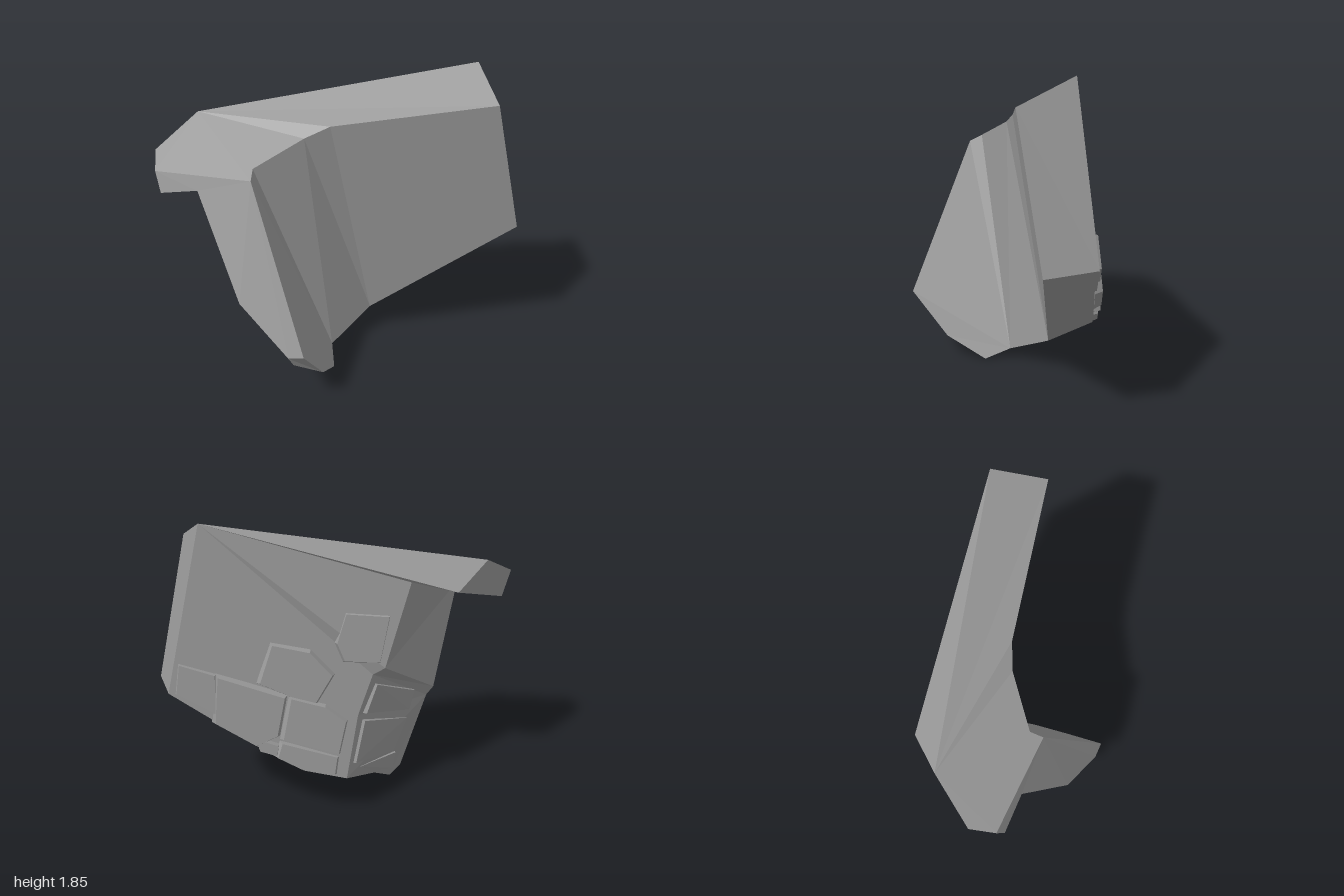
import * as THREE from 'three';
import { ConvexGeometry } from 'three/addons/geometries/ConvexGeometry.js';

const material = new THREE.MeshStandardMaterial({ color: 0x989898, flatShading: true });

// Corner points of the rock body
const P = {
  // slab end
  A: [0.64, 1.7, 0.62], B: [0.87, 0.86, 0.63], Bb: [0.995, 0.885, 0.36], Ab: [0.75, 1.85, 0.31],
  // front top edge
  C: [-0.12, 1.56, 0.05], K: [-0.26, 1.5, -0.01], D: [-0.58, 1.38, -0.05], E: [-0.63, 1.34, 0.01],
  // left spur and bottom front edge
  F: [-0.61, 0.41, 0.49], G: [-0.4, 0.14, 0.37], H: [-0.21, 0, 0.21], I: [-0.13, 0.06, 0.07], J: [0.2, 0.2, 0.03],
  M: [-0.67, 0.39, 0.42], W: [-0.63, 0.32, 0.41], N: [-0.81, 0.66, 0.13], V: [-0.85, 1.25, -0.22],
  // overhanging cap
  T: [-1, 1.21, -0.39], P3: [-1, 1.33, -0.44], P2: [-0.93, 1.4, -0.57], P1: [-0.62, 1.55, -0.62],
  R: [-0.35, 1.42, -0.63], S: [-0.87, 1.24, -0.56], Q: [-0.16, 1.48, -0.44],
  // back ridge with its ledge, and bottom back edge
  R1: [0, 0.98, -0.4], R1b: [0.04, 0.93, -0.34], R2: [0.13, 0.68, -0.31], R3: [0.22, 0.28, -0.31],
  R4: [-0.06, 0.18, -0.27], U: [0.57, 0.47, 0], U2: [0.41, 0.34, -0.14],
  L: [-0.34, 0.11, -0.24], L2: [-0.24, 0.07, -0.24], X: [-0.5, 0.59, -0.3], X1: [-0.53, 0.65, -0.33],
};

// Flat faces, corners counter-clockwise from outside, fanned from the first corner
const FACES = {
  top: 'P1 P2 P3 E D K C A Ab',
  slabFront: 'J B A C K',
  frontBand: 'I J K D',
  spurInner: 'I D E F G H',
  slabEnd: 'A B Bb Ab',
  slabUnderside: 'J R3 U2 U Bb B',
  bottom: 'I H L2 R4 R3 J',
  topBevel: 'Ab Q R P1',
  slabBack: 'Ab Bb U U2 R3 R2 R1b R1 Q',
  capBack: 'R S P2 P1',
  capLeft: 'P2 S T P3',
  capFront: 'P3 T V E',
  capUnderside: 'V T S R Q',
  spurOuter: 'E V N M F',
  spurTip: 'G F M W',
  leftSide: 'V X1 X L L2 H G W M N',
  backUpper: 'V Q R1 X1',
  backLedge: 'X1 R1 R1b X',
  backLower: 'X R1b R2 R3 R4 L2 L',
};

function body() {
  const pos = [];
  for (const face of Object.values(FACES)) {
    const c = face.split(' ').map((n) => P[n]);
    for (let i = 1; i < c.length - 1; i++) pos.push(...c[0], ...c[i], ...c[i + 1]);
  }
  const g = new THREE.BufferGeometry();
  g.setAttribute('position', new THREE.Float32BufferAttribute(pos, 3));
  g.computeVertexNormals();
  return g;
}

// A broken stone plate: outline sunk into the rock, smaller raised face
function plate(points, normal, thick) {
  const centre = points.reduce((s, p) => s.add(p), new THREE.Vector3()).divideScalar(points.length);
  const ring = [];
  for (const p of points) {
    ring.push(p.clone().addScaledVector(normal, -0.02));
    ring.push(p.clone().lerp(centre, 0.1).addScaledVector(normal, thick));
  }
  return new ConvexGeometry(ring);
}

// Plates on the slab back, as z, y outlines on its plane
const slabNormal = new THREE.Vector3(1, 0.186, -1.305).normalize();
const onSlab = ([z, y]) => new THREE.Vector3(0.75 - 0.186 * (y - 1.85) + 1.305 * (z - 0.31), y, z);
const slabPlates = [
  [0.015, [[0.34, 1.07], [0.2, 0.99], [0.18, 0.73], [0.34, 0.88]]],
  [0.025, [[0.21, 1], [-0.06, 0.84], [-0.05, 0.58], [0.03, 0.52], [0.2, 0.69]]],
  [0.02, [[0.03, 1.17], [-0.12, 1.11], [-0.22, 0.95], [-0.17, 0.77], [-0.07, 0.82], [0.06, 0.92]]],
  [0.025, [[-0.06, 0.84], [-0.2, 0.77], [-0.29, 0.66], [-0.28, 0.44], [-0.05, 0.56]]],
  [0.02, [[0.03, 0.58], [-0.05, 0.53], [-0.05, 0.46], [0.02, 0.5]]],
  [0.01, [[-0.05, 0.55], [-0.28, 0.43], [-0.28, 0.31], [-0.14, 0.36], [-0.04, 0.45]]],
  [0.015, [[-0.22, 1.33], [-0.39, 1.3], [-0.38, 1], [-0.24, 1.02], [-0.2, 1.14]]],
];

// Plates on the lower back, as x, y, z outlines
const backNormal = new THREE.Vector3(-0.08, -0.08, -1).normalize();
const backPlates = [
  [0.015, [[-0.38, 0.68, -0.31], [0.02, 0.87, -0.33], [0.1, 0.68, -0.315], [-0.34, 0.54, -0.3]]],
  [0.015, [[-0.34, 0.5, -0.29], [0.1, 0.65, -0.31], [0.18, 0.36, -0.31], [-0.22, 0.28, -0.28]]],
  [0.01, [[-0.26, 0.26, -0.27], [0.12, 0.32, -0.3], [-0.04, 0.2, -0.27], [-0.26, 0.12, -0.25]]],
];

export function createModel() {
  const group = new THREE.Group();
  group.name = 'rock';
  const add = (geometry, name) => {
    const mesh = new THREE.Mesh(geometry, material);
    mesh.name = name;
    group.add(mesh);
  };
  add(body(), 'rockBody');
  slabPlates.forEach(([t, o], i) => add(plate(o.map(onSlab), slabNormal, t), `slabPlate${i + 1}`));
  backPlates.forEach(([t, o], i) =>
    add(plate(o.map((p) => new THREE.Vector3(...p)), backNormal, t), `backPlate${i + 1}`));
  return group;
}
